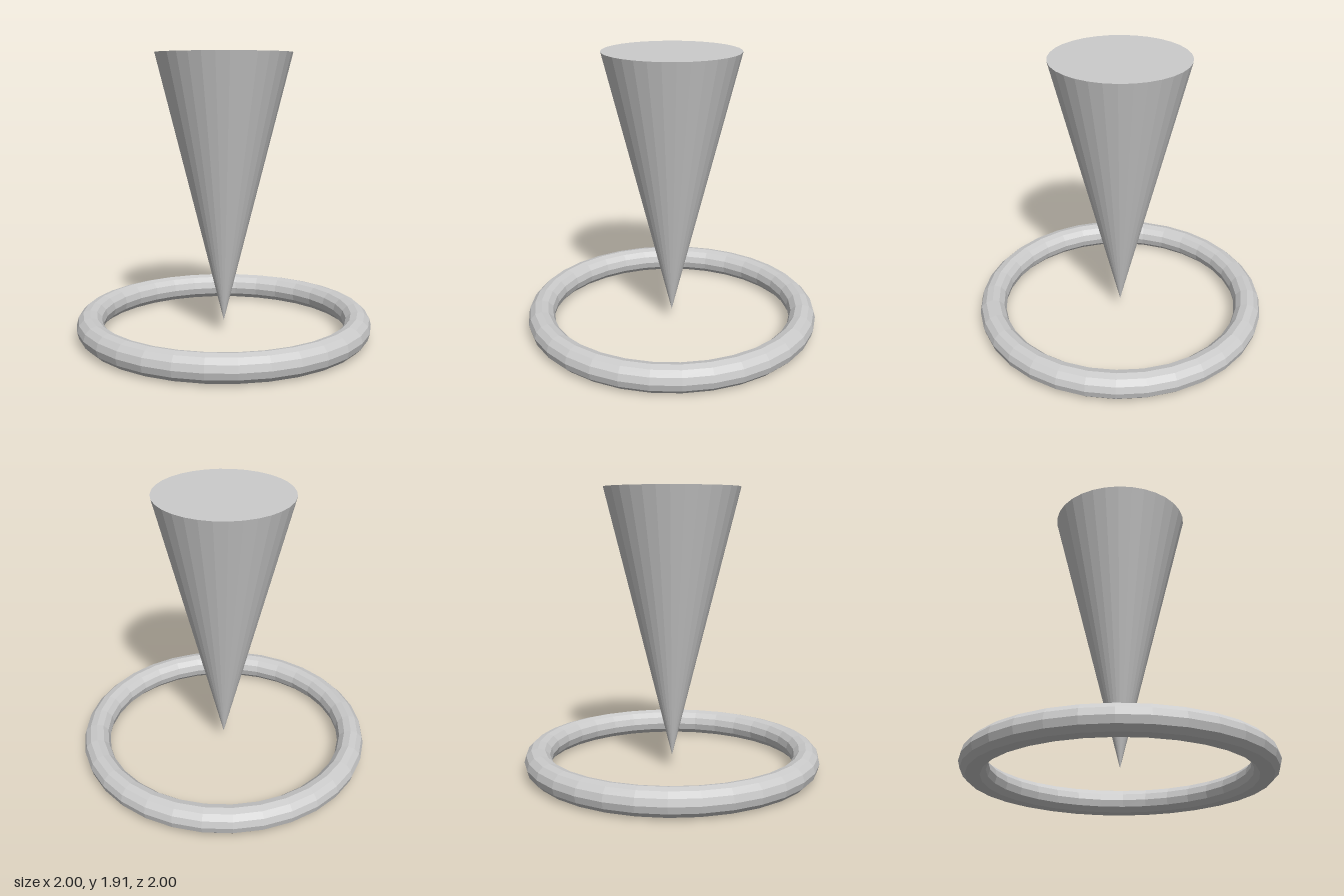
import * as THREE from 'three';

export function createModel() {
  const group = new THREE.Group();
  const material = new THREE.MeshStandardMaterial({ color: 0xcccccc, flatShading: true });
  const unit = 1 / 1.1; // ring centreline radius; all other sizes follow from it
  const tube = unit * 0.1;

  // Ring lying flat on the ground
  const ring = new THREE.Mesh(new THREE.TorusGeometry(unit, tube, 12, 32), material);
  ring.name = 'ring';
  ring.rotation.x = -Math.PI / 2;
  ring.position.y = tube;
  group.add(ring);

  // Capped cone pointing down, its tip at the centre of the ring
  const height = unit * 2;
  const cone = new THREE.Mesh(new THREE.CylinderGeometry(unit / 2, 0, height, 32), material);
  cone.name = 'cone';
  cone.position.y = tube + height / 2;
  group.add(cone);

  return group;
}
